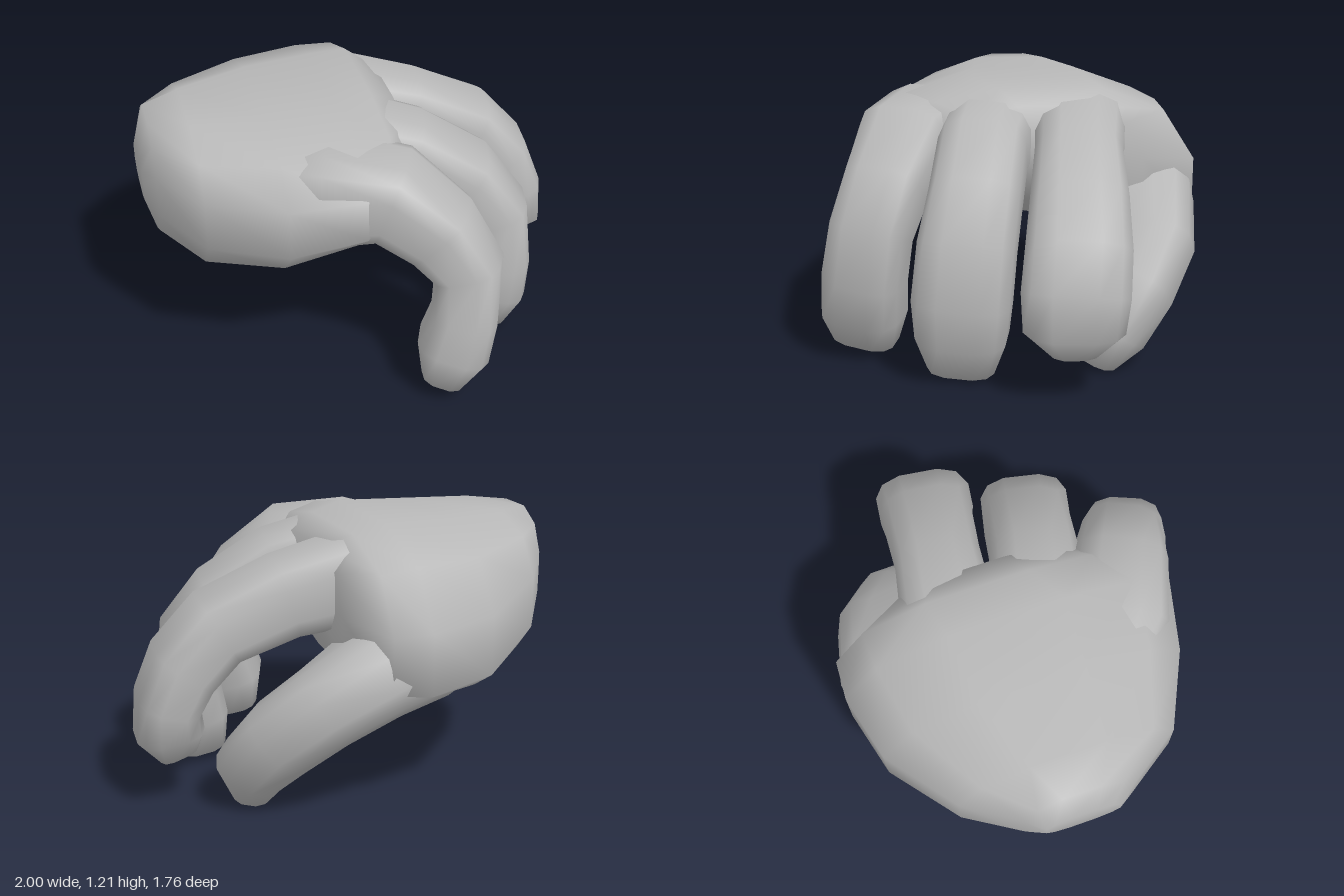
import * as THREE from 'three';

const SIDES = 12;
const skin = new THREE.MeshStandardMaterial({ color: 0xb8b8b8 });
skin.name = 'grey skin';

// rounded-square ring point reaching +-1, exponent controls how boxy it is
function ringPoint(i, power) {
  const a = ((i + 0.5) / SIDES) * Math.PI * 2;
  const reach = Math.cos(Math.PI / SIDES);
  const f = (v) => Math.sign(v) * Math.pow(Math.abs(v) / reach, 2 / power);
  return [f(Math.cos(a)), f(Math.sin(a))];
}

// skin a list of rings and close both ends
function loft(name, rings) {
  const pos = [], idx = [], n = SIDES;
  rings.forEach((r) => r.forEach((p) => pos.push(p.x, p.y, p.z)));
  for (let k = 0; k < rings.length - 1; k++) {
    for (let i = 0; i < n; i++) {
      const a = k * n + i, b = k * n + ((i + 1) % n);
      idx.push(a, b, b + n, a, b + n, a + n);
    }
  }
  [0, rings.length - 1].forEach((k) => {
    const c = new THREE.Vector3();
    rings[k].forEach((p) => c.addScaledVector(p, 1 / n));
    const ci = pos.length / 3;
    pos.push(c.x, c.y, c.z);
    for (let i = 0; i < n; i++) {
      const a = k * n + i, b = k * n + ((i + 1) % n);
      if (k === 0) idx.push(ci, b, a);
      else idx.push(ci, a, b);
    }
  });
  const g = new THREE.BufferGeometry();
  g.setAttribute('position', new THREE.Float32BufferAttribute(pos, 3));
  g.setIndex(idx);
  g.computeVertexNormals();
  const m = new THREE.Mesh(g, skin);
  m.name = name;
  return m;
}

// bent digit: joints are [x, y, z, half width, half thickness]; side runs across it
function digit(name, side, joints, power) {
  const at = (k) => new THREE.Vector3(...joints[k].slice(0, 3));
  const last = joints.length - 1;
  return loft(name, joints.map(([, , , w, t], k) => {
    const T = at(Math.min(k + 1, last)).sub(at(Math.max(k - 1, 0))).normalize();
    const S = new THREE.Vector3(...side);
    S.addScaledVector(T, -S.dot(T)).normalize();
    const N = new THREE.Vector3().crossVectors(T, S);
    return Array.from({ length: SIDES }, (_, i) => {
      const [u, v] = ringPoint(i, power);
      return at(k).addScaledVector(S, u * w).addScaledVector(N, v * t);
    });
  }));
}

// palm sections: [x, back z, front z, top y, bottom y at back, bottom y at front,
// height of the widest point at back, and at front]
function palm() {
  const sections = [
    [-1.0, -0.23, 0.11, 0.98, 0.8, 0.8, 0.88, 0.88],
    [-0.95, -0.31, 0.18, 1.17, 0.62, 0.62, 0.88, 0.88],
    [-0.78, -0.55, 0.43, 1.18, 0.52, 0.54, 0.8, 0.86],
    [-0.45, -0.79, 0.59, 1.19, 0.43, 0.53, 0.68, 0.86],
    [-0.13, -0.87, 0.66, 1.2, 0.42, 0.66, 0.64, 0.92],
    [0.05, -0.86, 0.5, 1.18, 0.47, 0.78, 0.65, 0.95],
    [0.17, -0.6, 0.27, 1.12, 0.6, 0.82, 0.73, 0.95],
  ];
  return loft('palm', sections.map(([x, z0, z1, top, b0, b1, m0, m1]) =>
    Array.from({ length: SIDES }, (_, i) => {
      const [v, u] = ringPoint(i, 2.5);
      const f = (u + 1) / 2;
      const bottom = b0 + (b1 - b0) * f;
      const mid = m0 + (m1 - m0) * f;
      const y = mid + v * (v > 0 ? top - mid : mid - bottom);
      return new THREE.Vector3(x, y, z0 + (z1 - z0) * f);
    })));
}

export function createModel() {
  const hand = new THREE.Group();
  hand.name = 'hand';
  hand.add(palm());

  // fingers start deep inside the palm so their knuckles run out of it smoothly
  hand.add(digit('frontFinger', [-0.41, 0, 0.91], [
    [-0.5, 0.86, 0.2, 0.2, 0.22],
    [-0.2, 0.93, 0.38, 0.24, 0.22],
    [0.03, 0.93, 0.49, 0.215, 0.19],
    [0.22, 0.77, 0.58, 0.185, 0.17],
    [0.33, 0.6, 0.65, 0.18, 0.15],
    [0.31, 0.38, 0.685, 0.185, 0.15],
    [0.265, 0.21, 0.69, 0.185, 0.165],
    [0.22, 0.06, 0.69, 0.15, 0.1],
  ], 3));

  hand.add(digit('middleFinger', [-0.22, 0, 0.97], [
    [-0.3, 0.93, 0.02, 0.2, 0.23],
    [-0.02, 0.96, 0.08, 0.21, 0.21],
    [0.2, 0.92, 0.14, 0.2, 0.18],
    [0.46, 0.77, 0.19, 0.2, 0.165],
    [0.6, 0.6, 0.235, 0.21, 0.15],
    [0.61, 0.36, 0.26, 0.215, 0.15],
    [0.59, 0.2, 0.26, 0.2, 0.16],
    [0.55, 0.04, 0.26, 0.15, 0.11],
  ], 3));

  hand.add(digit('indexFinger', [-0.13, 0, 0.99], [
    [-0.25, 0.93, -0.36, 0.22, 0.23],
    [0.05, 0.96, -0.32, 0.21, 0.2],
    [0.32, 0.9, -0.28, 0.195, 0.18],
    [0.62, 0.78, -0.245, 0.21, 0.165],
    [0.77, 0.62, -0.225, 0.225, 0.155],
    [0.84, 0.46, -0.205, 0.23, 0.14],
    [0.84, 0.32, -0.2, 0.215, 0.15],
    [0.8, 0.21, -0.21, 0.11, 0.09],
  ], 3));

  // thumb hangs low from the back edge and curls inwards under the fingers
  hand.add(digit('thumb', [-0.55, 0, 0.83], [
    [-0.5, 0.73, -0.38, 0.24, 0.24],
    [-0.2, 0.67, -0.53, 0.27, 0.24],
    [0.05, 0.6, -0.62, 0.25, 0.2],
    [0.26, 0.48, -0.605, 0.215, 0.18],
    [0.42, 0.33, -0.51, 0.19, 0.175],
    [0.51, 0.17, -0.39, 0.175, 0.16],
    [0.49, 0.03, -0.345, 0.11, 0.09],
  ], 2.6));

  return hand;
}
